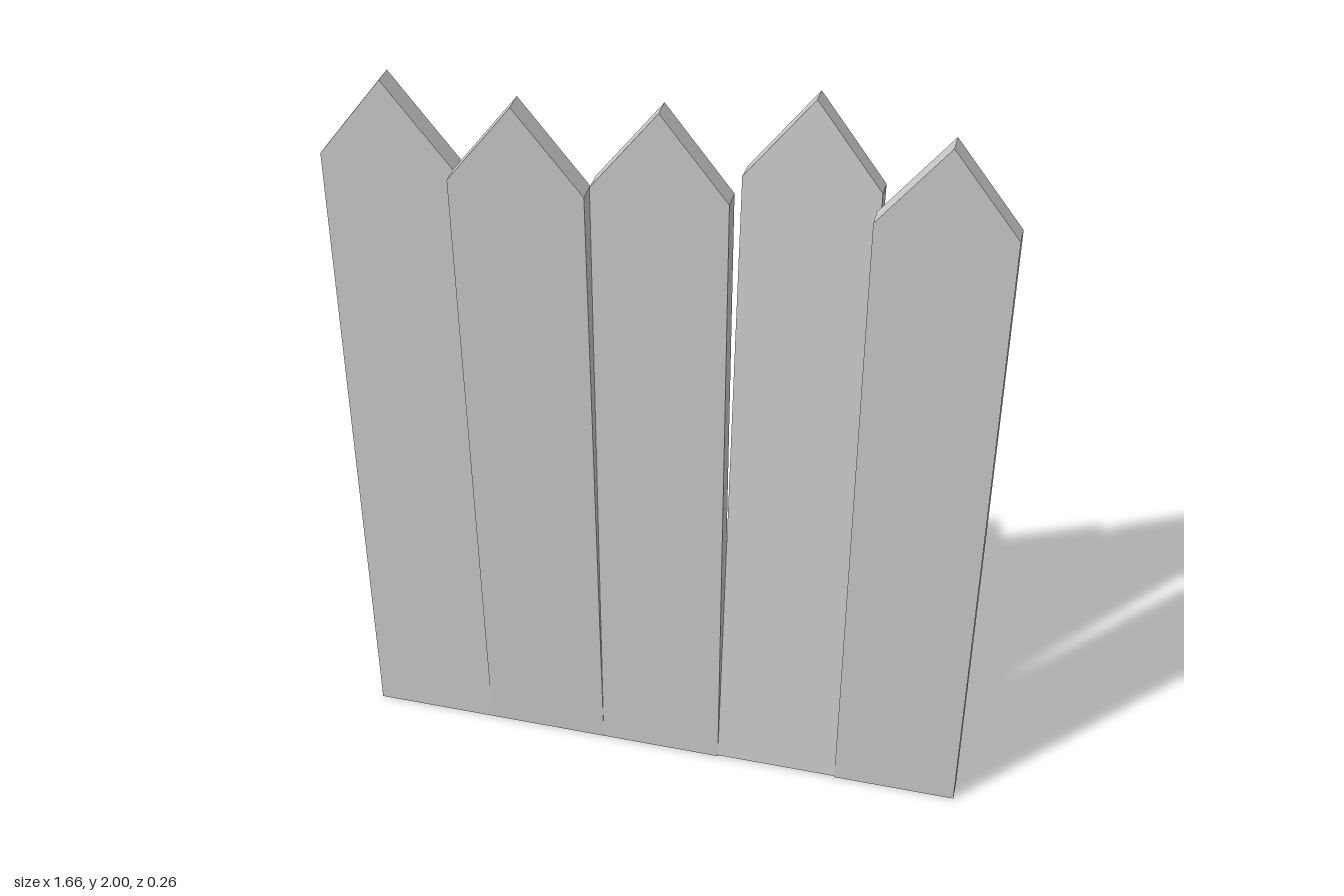
import * as THREE from 'three';

const W = 0.3316, H = 2, SHOULDER = 1.787, T = 0.054, BACK = 0.022;

// One pointed plank, its back bottom edge on the local origin
function plankGeometry() {
  const s = new THREE.Shape();
  s.moveTo(-W / 2, 0);
  s.lineTo(W / 2, 0);
  s.lineTo(W / 2, SHOULDER);
  s.lineTo(0, H);
  s.lineTo(-W / 2, SHOULDER);
  s.closePath();
  return new THREE.ExtrudeGeometry(s, { depth: T, bevelEnabled: false });
}

export function createModel() {
  const group = new THREE.Group();
  group.name = 'picketFence';
  const material = new THREE.MeshStandardMaterial({ color: 0xcccccc, flatShading: true });
  const geometry = plankGeometry();

  // Lean of each plank in degrees: positive tips forward, negative tips back
  const leans = [0, 1.52, 0, -4.4, 0];
  leans.forEach((deg, i) => {
    const angle = THREE.MathUtils.degToRad(deg);
    const plank = new THREE.Mesh(geometry, material);
    plank.name = `plank${i + 1}`;
    plank.rotation.x = angle;
    // A forward lean pivots on the front edge so it stays on the ground
    const lift = angle > 0 ? T * Math.sin(angle) : 0;
    plank.position.set((i - 2) * W, lift, BACK);
    group.add(plank);
  });
  return group;
}
